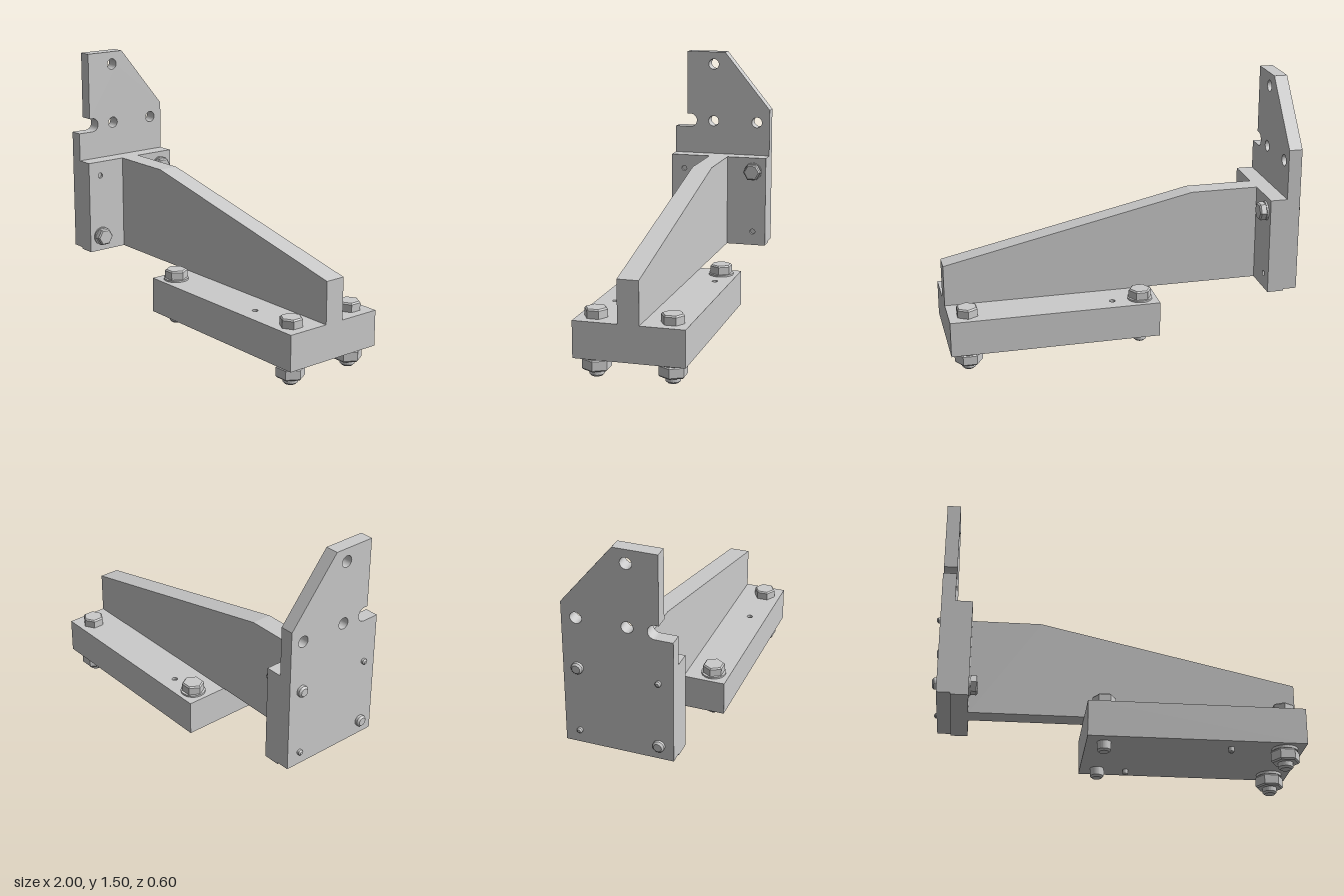
import * as THREE from 'three';

const grey = new THREE.MeshStandardMaterial({ color: 0xcccccc });
const flat = new THREE.MeshStandardMaterial({ color: 0xcccccc, flatShading: true });

function add(parent, name, geometry, material = flat) {
  const mesh = new THREE.Mesh(geometry, material);
  mesh.name = name;
  parent.add(mesh);
  return mesh;
}

function polygon(points, holes = []) {
  const shape = new THREE.Shape(points.map(([x, y]) => new THREE.Vector2(x, y)));
  drill(shape, holes);
  return shape;
}

function drill(shape, holes) {
  for (const [x, y, r] of holes) {
    shape.holes.push(new THREE.Path().absarc(x, y, r, 0, Math.PI * 2, true));
  }
}

const extrude = (shape, depth) =>
  new THREE.ExtrudeGeometry(shape, { depth, bevelEnabled: false, curveSegments: 24 });

// Closed plate standing across x; its shape is drawn in (-z, y)
const acrossX = (shape, x0, x1) => extrude(shape, x1 - x0).rotateY(Math.PI / 2).translate(x0, 0, 0);

// Hexagonal prism with chamfered ends where asked, standing on y0
function hex(parent, name, r, y0, y1, turn, chamferBottom = 0) {
  const c = 0.008;
  const points = [[0, y0], [r - chamferBottom, y0], [r, y0 + chamferBottom], [r, y1 - c], [r - c, y1], [0, y1]];
  const geo = new THREE.LatheGeometry(points.map(p => new THREE.Vector2(...p)), 6);
  return add(parent, name, geo.rotateY(turn));
}

// Round rod from y0 (chamfered tip) up to y1
function rod(parent, name, r, y0, y1, c = 0.01) {
  const points = [[0, y0], [r - c, y0], [r, y0 + c], [r, y1], [0, y1]];
  return add(parent, name, new THREE.LatheGeometry(points.map(p => new THREE.Vector2(...p)), 24));
}

function disc(parent, name, r, y0, y1) {
  const geo = new THREE.CylinderGeometry(r, r, y1 - y0, 32).translate(0, (y0 + y1) / 2, 0);
  return add(parent, name, geo);
}

// Bolt with its seat at y = 0, head above and shank below
function bolt(name, { headR, headH, washerR = 0, shankR, length, turn = 0 }) {
  const group = new THREE.Group();
  group.name = name;
  if (washerR) disc(group, 'washer', washerR, 0, 0.01);
  hex(group, 'boltHead', headR, 0, headH, turn);
  rod(group, 'boltShank', shankR, -length, 0.005);
  return group;
}

export function createModel() {
  const model = new THREE.Group();
  model.name = 'bracket';

  // Tall mounting plate with clipped corner, open slot and three holes
  const plate = new THREE.Shape();
  plate.moveTo(-0.3, 0.325);
  plate.lineTo(0.3, 0.325);
  plate.lineTo(0.3, 1.15);
  plate.lineTo(0.015, 1.5);
  plate.lineTo(-0.225, 1.5);
  plate.lineTo(-0.225, 1.11);
  plate.lineTo(-0.205, 1.11);
  plate.absarc(-0.205, 1.07, 0.04, Math.PI / 2, -Math.PI / 2, true);
  plate.lineTo(-0.3, 1.03);
  plate.closePath();
  drill(plate, [[-0.057, 1.425, 0.032], [-0.057, 1.07, 0.032], [0.22, 1.07, 0.032]]);
  add(model, 'mountingPlate', acrossX(plate, -0.975, -0.9), grey);

  // Flange bolted to the plate, with two pin holes
  const flangePins = [[0.22, 0.78], [-0.22, 0.4]]; // z, y
  const flange = polygon(
    [[-0.3, 0.315], [0.3, 0.315], [0.3, 0.865], [-0.3, 0.865]],
    flangePins.map(([z, y]) => [-z, y, 0.016]));
  add(model, 'flange', acrossX(flange, -0.9, -0.805), grey);

  // Tapered upright web
  const web = polygon([[-0.805, 0.315], [1, 0.315], [1, 0.55], [-0.42, 0.865], [-0.805, 0.865]]);
  add(model, 'web', extrude(web, 0.116).translate(0, 0, -0.058), grey);

  // Base block with two pin holes
  const basePins = [[0.08, -0.21], [0.605, 0.2]]; // x, z
  const base = polygon(
    [[-0.175, -0.3], [1, -0.3], [1, 0.3], [-0.175, 0.3]],
    basePins.map(([x, z]) => [x, -z, 0.016]));
  add(model, 'baseBlock', extrude(base, 0.2).rotateX(-Math.PI / 2).translate(0, 0.115, 0), grey);

  // Locating pins
  for (const [x, z] of basePins) {
    rod(model, 'basePin', 0.016, 0.085, 0.3, 0.006).position.set(x, 0, z);
  }
  for (const [z, y] of flangePins) {
    const pin = rod(model, 'flangePin', 0.016, -0.995, -0.82, 0.008);
    pin.rotation.z = -Math.PI / 2;
    pin.position.set(0, y, z);
  }

  // Base bolts: plain screws at the inner end, nut and washer at the outer end
  for (const z of [-0.205, 0.205]) {
    const screw = bolt('innerBolt', {
      headR: 0.064, headH: 0.06, washerR: 0.07, shankR: 0.037, length: 0.255, turn: Math.PI / 6,
    });
    screw.position.set(-0.08, 0.315, z);
    model.add(screw);

    const through = bolt('outerBolt', { headR: 0.063, headH: 0.05, shankR: 0.04, length: 0.315 });
    disc(through, 'nutWasher', 0.07, -0.215, -0.2);
    hex(through, 'nut', 0.078, -0.28, -0.215, Math.PI / 6, 0.008);
    through.position.set(0.895, 0.315, z);
    model.add(through);
  }

  // Flange bolts, heads facing +x
  for (const [z, y] of [[-0.22, 0.78], [0.22, 0.405]]) {
    const b = bolt('flangeBolt', { headR: 0.053, headH: 0.047, washerR: 0.054, shankR: 0.032, length: 0.195 });
    b.rotation.z = -Math.PI / 2;
    b.position.set(-0.805, y, z);
    model.add(b);
  }

  return model;
}
